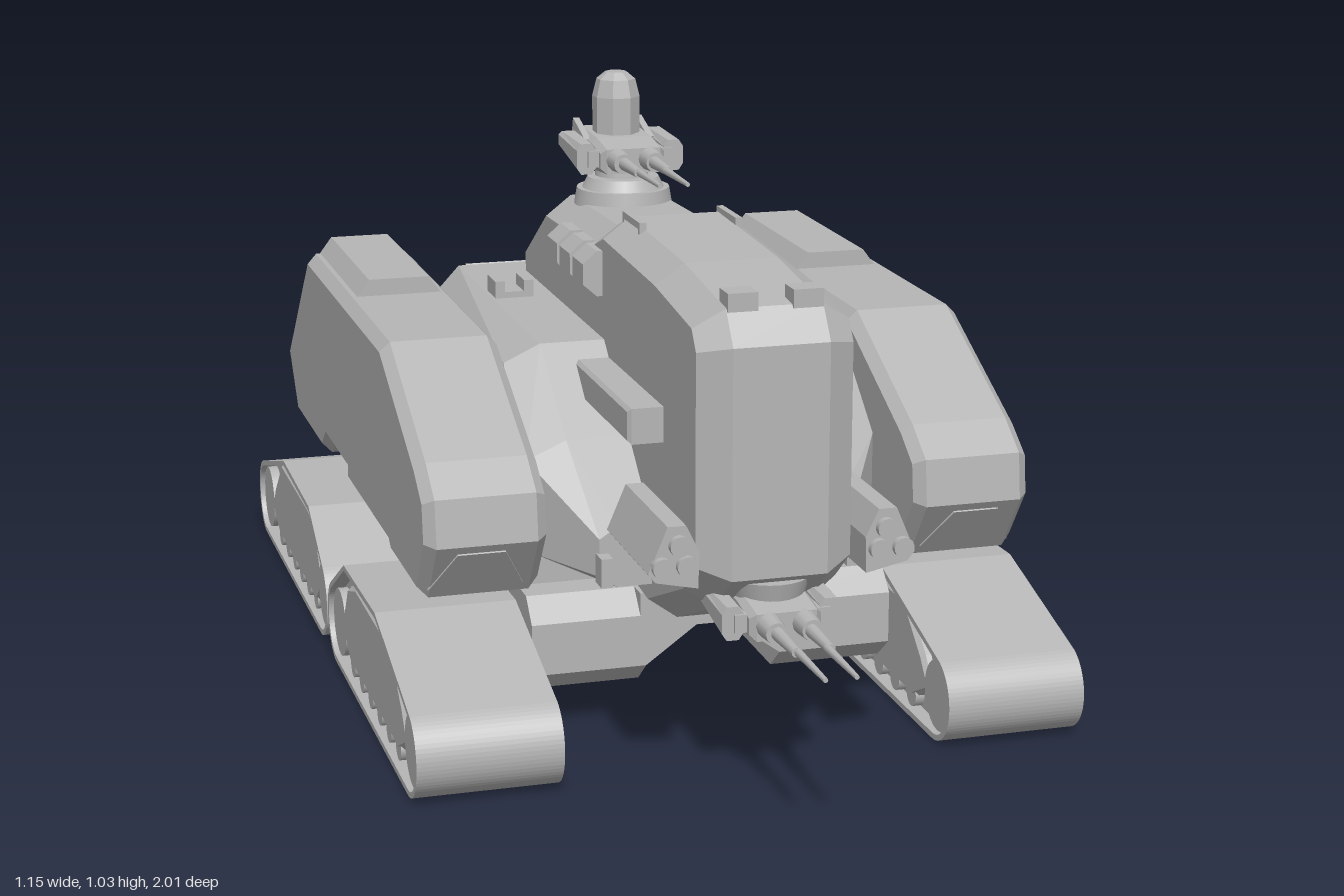
import * as THREE from 'three';

const grey = new THREE.MeshStandardMaterial({ color: 0xb6b6b6 });
grey.name = 'armour grey';

function add(parent, name, geo, x = 0, y = 0, z = 0) {
  const m = new THREE.Mesh(geo, grey);
  m.name = name;
  m.position.set(x, y, z);
  parent.add(m);
  return m;
}
const box = (w, h, d) => new THREE.BoxGeometry(w, h, d);
const cyl = (r0, r1, h, n = 16) => new THREE.CylinderGeometry(r0, r1, h, n);
const shapeOf = pts => new THREE.Shape(pts.map(p => new THREE.Vector2(p[0], p[1])));

// Side profile in (z, y) extruded across x, centred on x = 0
function sideExtrude(shape, width, bevel = 0, inset = bevel) {
  const depth = width - 2 * bevel;
  const g = new THREE.ExtrudeGeometry(shape, {
    depth, curveSegments: 14, bevelEnabled: bevel > 0, bevelThickness: bevel,
    bevelSize: inset, bevelOffset: -inset, bevelSegments: 1,
  });
  return g.translate(0, 0, -depth / 2).rotateY(-Math.PI / 2);
}

// Convex rings (counter-clockwise seen from +z) joined from back to front
function loft(sections) {
  const pos = [];
  const tri = (a, b, c) => pos.push(...a, ...b, ...c);
  const rings = sections.map(([z, ring]) => ring.map(p => [p[0], p[1], z]));
  const n = rings[0].length;
  for (let k = 0; k < rings.length - 1; k++) {
    for (let i = 0; i < n; i++) {
      const j = (i + 1) % n, a = rings[k], b = rings[k + 1];
      tri(a[i], a[j], b[j]);
      tri(a[i], b[j], b[i]);
    }
  }
  const back = rings[0], front = rings[rings.length - 1];
  for (let i = 1; i < n - 1; i++) {
    tri(back[0], back[i + 1], back[i]);
    tri(front[0], front[i], front[i + 1]);
  }
  const g = new THREE.BufferGeometry();
  g.setAttribute('position', new THREE.Float32BufferAttribute(pos, 3));
  g.computeVertexNormals();
  return g;
}
// Rectangle with cut corners
function octagon(w, yb, yt, cx, cy) {
  return [[-w + cx, yb], [w - cx, yb], [w, yb + cy], [w, yt - cy],
    [w - cx, yt], [-w + cx, yt], [-w, yt - cy], [-w, yb + cy]];
}

// Track loop outline, inset by d from the outer face
function trackShape(d, Type = THREE.Shape) {
  const s = new Type(), r = 0.075 - d;
  s.absarc(0.54, 0.075, r, -Math.PI / 2, 1.2, false);
  s.lineTo(0.28, 0.225 - d);
  s.lineTo(-0.01, 0.217 - d);
  s.absarc(-0.115, 0.075, r, 2.1, Math.PI * 1.5, false);
  s.closePath();
  return s;
}

function makeTrack() {
  const g = new THREE.Group();
  g.name = 'trackUnit';
  const band = trackShape(0);
  band.holes.push(trackShape(0.01, THREE.Path));
  add(g, 'trackBand', sideExtrude(band, 0.244));
  add(g, 'trackCore', sideExtrude(trackShape(0.01), 0.19));
  const plate = shapeOf([[0.5, 0.07], [0.46, 0.12], [0.37, 0.195], [0.05, 0.195],
    [-0.03, 0.17], [-0.08, 0.1], [-0.06, 0.06], [-0.02, 0.03], [0.42, 0.03]]);
  add(g, 'suspensionPlate', sideExtrude(plate, 0.226, 0.008));
  for (const z of [0.54, -0.115]) {
    add(g, 'endWheel', cyl(0.062, 0.062, 0.226, 24).rotateZ(Math.PI / 2), 0, 0.075, z);
  }
  for (let i = 0; i < 6; i++) {
    add(g, 'roadWheel', cyl(0.023, 0.023, 0.222, 14).rotateZ(Math.PI / 2), 0, 0.033, 0.41 - i * 0.082);
  }
  return g;
}

// Twin gun cluster pointing to +z
function makeGuns() {
  const g = new THREE.Group();
  g.name = 'twinGun';
  add(g, 'gunHousing', sideExtrude(shapeOf([[0.1, -0.025], [0.1, 0.02], [0.03, 0.03],
    [-0.08, 0.035], [-0.1, 0.0], [-0.03, -0.035]]), 0.12, 0.01));
  add(g, 'gunCradle', box(0.16, 0.03, 0.06), 0, 0, 0.05);
  for (const s of [1, -1]) {
    add(g, 'sidePod', loft([[-0.06, octagon(0.018, 0, 0.03, 0.006, 0.006)],
      [0.075, octagon(0.018, -0.028, 0.028, 0.008, 0.012)]]), s * 0.082);
    add(g, 'sideArm', box(0.012, 0.03, 0.09), s * 0.06, 0.022, -0.045).rotation.x = 0.3;
    add(g, 'muzzleCollar', cyl(0.018, 0.022, 0.05, 12).rotateX(Math.PI / 2), s * 0.03, 0, 0.115);
    add(g, 'barrelSleeve', cyl(0.008, 0.012, 0.1, 10).rotateX(Math.PI / 2), s * 0.028, 0, 0.18);
    add(g, 'barrel', cyl(0.004, 0.007, 0.135, 8).rotateX(Math.PI / 2), s * 0.025, 0, 0.29);
  }
  return g;
}

export function createModel() {
  const model = new THREE.Group();
  model.name = 'trackedCarrier';

  // Lower hull, with sloping nose and tail
  add(model, 'hull', loft([
    [-0.8, octagon(0.25, 0.28, 0.38, 0.02, 0.02)],
    [-0.73, octagon(0.31, 0.28, 0.445, 0.065, 0.03)],
    [-0.53, octagon(0.31, 0.28, 0.63, 0.065, 0.07)],
    [0.12, octagon(0.31, 0.28, 0.63, 0.065, 0.03)],
    [0.28, octagon(0.31, 0.28, 0.5, 0.07, 0.03)],
    [0.42, octagon(0.22, 0.28, 0.385, 0.03, 0.02)],
  ]));
  add(model, 'belly', box(0.62, 0.05, 0.9), 0, 0.26, -0.2);
  add(model, 'crossBeam', box(0.96, 0.045, 0.58), 0, 0.262, -0.19);

  // Tall cab and upper superstructure
  add(model, 'cab', sideExtrude(shapeOf([[0.705, 0.37], [0.705, 0.75], [0.665, 0.805],
    [0.44, 0.83], [0.11, 0.842], [0.03, 0.812], [-0.3, 0.803], [-0.49, 0.685],
    [-0.49, 0.5], [0.0, 0.24], [0.4, 0.21], [0.62, 0.3]]), 0.26, 0.05, 0.035));

  // Tail hatches on the rear slope
  for (const s of [1, -1]) {
    const frame = shapeOf([[-0.098, -0.165], [0.098, -0.165], [0.098, 0.165], [-0.098, 0.165]]);
    frame.holes.push(new THREE.Path([[-0.08, -0.145], [-0.08, 0.145], [0.08, 0.145], [0.08, -0.145]]
      .map(p => new THREE.Vector2(...p))));
    const hatch = new THREE.ExtrudeGeometry(frame, { depth: 0.014, bevelEnabled: false });
    add(model, 'tailHatchFrame', hatch, s * 0.128, 0.505, -0.665).rotation.x = -2.318;
  }

  const pod = shapeOf([[0.465, 0.47], [0.4, 0.515], [0.115, 0.65], [-0.62, 0.65], [-0.89, 0.4],
    [-0.79, 0.285], [-0.5, 0.285], [-0.455, 0.32], [0.12, 0.32], [0.17, 0.285], [0.4, 0.285], [0.475, 0.39]]);
  for (const s of [1, -1]) {
    // Armoured side pods
    add(model, 'sidePod', sideExtrude(pod, 0.205, 0.018), s * 0.422);
    add(model, 'podRoofBox', loft([-0.625, -0.235].map(z =>
      [z, [[-0.085, 0.64], [0.085, 0.64], [0.055, 0.68], [-0.055, 0.68]]])), s * 0.42);
    add(model, 'podMount', box(0.1, 0.22, 0.7), s * 0.31, 0.43, -0.25);
    add(model, 'podLamp', loft([[-0.004, [[-0.08, -0.045], [0.08, -0.045], [0.04, 0.045], [-0.04, 0.045]]],
      [0.004, [[-0.08, -0.045], [0.08, -0.045], [0.04, 0.045], [-0.04, 0.045]]]]),
      s * 0.43, 0.34, 0.438).rotation.x = 0.62;

    // Tracks, rear pair mirrored front to back
    for (const end of [1, -1]) {
      const t = makeTrack();
      t.position.set(s * 0.453, 0, end > 0 ? 0 : -0.39);
      if (end < 0) t.rotation.y = Math.PI;
      model.add(t);
      const z = end > 0 ? 0.15 : -0.54;
      add(model, 'axleHousing', sideExtrude(shapeOf([[0.2, 0.11], [0.2, 0.2], [0.16, 0.24],
        [-0.16, 0.24], [-0.2, 0.2], [-0.2, 0.11], [-0.15, 0.07], [0.15, 0.07]]), 0.2), s * 0.22, 0, z);
      add(model, 'axleHub', cyl(0.065, 0.065, 0.06, 20).rotateZ(Math.PI / 2), s * 0.34, 0.115, z);
    }

    // Horizontal cheek beam and grenade launchers on the cab
    add(model, 'cheekBeam', sideExtrude(shapeOf([[0.49, 0.545], [0.49, 0.605], [0.1, 0.605], [0.1, 0.545]]),
      0.08, 0.006), s * 0.15);
    for (let i = 0; i < 3; i++) {
      add(model, 'grenadeLauncher', loft([-0.036, 0.036].map(z =>
        [z, octagon(0.035, -0.04, 0.04, 0.025, 0.022)])), s * 0.13, 0.745, 0.075 - i * 0.09);
    }

    // Triple-tube launcher beside the chin
    const tri = [[0.14, 0.37], [0.21, 0.385], [0.222, 0.4], [0.19, 0.475], [0.16, 0.475], [0.138, 0.43]];
    const ring = s > 0 ? tri : tri.map(p => [-p[0], p[1]]).reverse();
    add(model, 'tubeLauncher', loft([[0.475, ring], [0.72, ring]]));
    add(model, 'launcherBracket', box(0.1, 0.06, 0.12), s * 0.14, 0.4, 0.54);
    for (const [x, y] of [[0.172, 0.444], [0.2, 0.41], [0.16, 0.41]]) {
      add(model, 'launchTube', cyl(0.017, 0.017, 0.02, 14).rotateX(Math.PI / 2), s * x, y, 0.722);
    }

    // Small fittings
    add(model, 'cabLamp', box(0.05, 0.03, 0.045), s * 0.054, 0.815, 0.65);
    add(model, 'handrail', box(0.012, 0.012, 0.11), s * 0.085, 0.845, 0.155);
    for (const z of [0.105, 0.205]) add(model, 'handrailPost', box(0.012, 0.04, 0.01), s * 0.085, 0.83, z);
    add(model, 'deckCleatBase', box(0.07, 0.012, 0.06), s * 0.205, 0.635, -0.265);
    for (const x of [0.178, 0.232]) add(model, 'deckCleat', box(0.018, 0.03, 0.065), s * x, 0.647, -0.265);
    add(model, 'towLug', box(0.02, 0.05, 0.04), s * 0.215, 0.315, 0.43);
  }

  // Arched keel between the axle housings
  for (const z of [-0.74, -0.05]) {
    const arch = shapeOf([[-0.13, 0.24], [-0.13, 0.11], [-0.12, 0.11], [-0.03, 0.175],
      [0.03, 0.175], [0.12, 0.11], [0.13, 0.11], [0.13, 0.24]]);
    add(model, 'archedKeel', new THREE.ExtrudeGeometry(arch, { depth: 0.4, bevelEnabled: false }), 0, 0, z);
  }

  // Roof turret with sensor dome
  add(model, 'turretRing', cyl(0.085, 0.09, 0.03, 28), 0, 0.815, -0.225);
  add(model, 'turretBase', cyl(0.065, 0.075, 0.02, 28), 0, 0.84, -0.225);
  add(model, 'turretNeck', cyl(0.045, 0.05, 0.04, 16), 0, 0.865, -0.235);
  const roofGun = makeGuns();
  roofGun.position.set(0, 0.892, -0.25);
  model.add(roofGun);
  const dome = new THREE.LatheGeometry([[0.044, 0.9], [0.044, 0.99], [0.036, 1.022], [0.02, 1.035], [0, 1.035]]
    .map(p => new THREE.Vector2(...p)), 8, Math.PI / 8).toNonIndexed();
  dome.computeVertexNormals();
  add(model, 'sensorDome', dome, 0, 0, -0.272);

  // Chin turret
  add(model, 'chinRing', cyl(0.068, 0.06, 0.03, 24), 0, 0.345, 0.645);
  const chinGun = makeGuns();
  chinGun.position.set(0, 0.305, 0.643);
  model.add(chinGun);
  return model;
}
